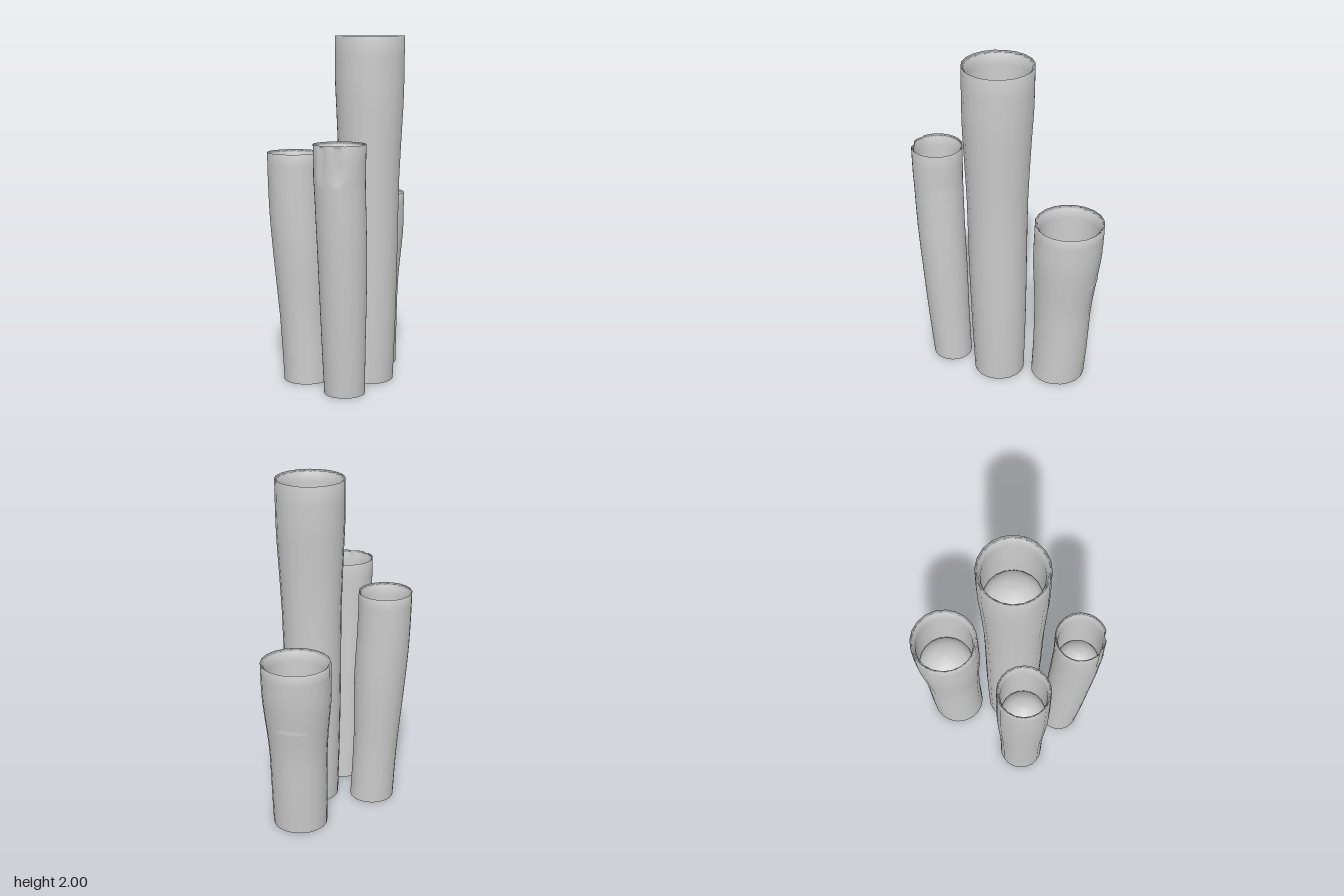
import * as THREE from 'three';

const SIDES = 20;

// Each stem: rows of [height, centre x, centre z, radius] from foot to mouth
const STEMS = [
  { name: 'tallTube', rows: [
    [0, 0.185, 0.04, 0.15], [0.4, 0.187, 0.042, 0.163], [0.8, 0.188, 0.045, 0.17],
    [1.2, 0.19, 0.044, 0.175], [1.6, 0.192, 0.042, 0.193], [1.77, 0.19, 0.038, 0.199],
    [2, 0.19, 0.036, 0.2]] },
  { name: 'backTube', rows: [
    [0, 0.16, -0.315, 0.16], [0.2, 0.16, -0.328, 0.163], [0.45, 0.16, -0.337, 0.168],
    [0.6, 0.16, -0.345, 0.178], [0.8, 0.16, -0.355, 0.197], [0.92, 0.16, -0.362, 0.2],
    [1.05, 0.16, -0.367, 0.2]] },
  { name: 'rightTube', rows: [
    [0, -0.167, 0.113, 0.132], [0.2, -0.178, 0.113, 0.132], [0.4, -0.19, 0.113, 0.135],
    [0.6, -0.2, 0.113, 0.145], [0.8, -0.21, 0.114, 0.154], [1, -0.224, 0.115, 0.156],
    [1.2, -0.233, 0.115, 0.155], [1.34, -0.236, 0.115, 0.155]] },
  { name: 'frontTube', notch: true, rows: [
    [0, 0.09, 0.355, 0.115], [0.3, 0.087, 0.375, 0.124], [0.6, 0.085, 0.39, 0.133],
    [0.9, 0.08, 0.407, 0.139], [1.18, 0.071, 0.417, 0.142], [1.24, 0.07, 0.419, 0.144],
    [1.42, 0.07, 0.42, 0.146]] },
];

// Smooths the rows into twice as many rings
function smoothRows(rows) {
  const path = new THREE.CatmullRomCurve3(
    rows.map(([y, x, z]) => new THREE.Vector3(x, y, z)), false, 'catmullrom');
  const girth = new THREE.CatmullRomCurve3(
    rows.map(([y, , , r]) => new THREE.Vector3(r, y, 0)), false, 'catmullrom');
  const count = (rows.length - 1) * 2;
  return Array.from({ length: count + 1 }, (_, i) => {
    const p = path.getPoint(i / count);
    return { x: p.x, y: p.y, z: p.z, r: girth.getPoint(i / count).x, outer: true };
  });
}

// Joins a stack of rings into one smooth skin
function skin(rings, notch, sides) {
  const pos = [];
  const index = [];
  rings.forEach((ring, i) => {
    for (let j = 0; j < sides; j++) {
      const a = (j / sides) * Math.PI * 2;
      const deg = a > Math.PI ? (a * 180) / Math.PI - 360 : (a * 180) / Math.PI;
      // shallow broken groove below the mouth, with a raised rib in the middle
      const inGroove = notch && ring.outer && ring.y > 1.235 && deg > -40 && deg < 10;
      const rib = deg > -28 && deg < -8;
      const r = ring.r - (inGroove ? (rib ? 0.004 : 0.014) : 0);
      pos.push(ring.x + Math.sin(a) * r, ring.y, ring.z + Math.cos(a) * r);
      if (i < rings.length - 1) {
        const k = (j + 1) % sides;
        const p = i * sides + j, q = i * sides + k;
        index.push(p, q, q + sides, p, q + sides, p + sides);
      }
    }
  });
  const geo = new THREE.BufferGeometry();
  geo.setAttribute('position', new THREE.Float32BufferAttribute(pos, 3));
  geo.setIndex(index);
  geo.computeVertexNormals();
  return geo;
}

export function createModel() {
  const grey = new THREE.MeshStandardMaterial({ color: 0xcccccc, side: THREE.DoubleSide });
  grey.name = 'plainGrey';
  const model = new THREE.Group();
  model.name = 'tubeCluster';

  for (const { name, rows, notch } of STEMS) {
    const stem = new THREE.Group();
    stem.name = name;
    const sides = notch ? SIDES * 2 : SIDES;
    const outer = smoothRows(rows);
    const top = outer[outer.length - 1];
    const foot = outer[0];

    // lip, throat and domed floor, as [radius factor, depth below the mouth]
    const inner = [[0.92, 0.015], [0.86, 0.07], [0.85, 0.38]]
      .map(([f, d]) => ({ x: top.x, y: top.y - d, z: top.z, r: top.r * f }));
    const wall = new THREE.Mesh(skin([...outer, ...inner], notch, sides), grey);
    wall.name = 'wall';
    stem.add(wall);

    const dome = Array.from({ length: 7 }, (_, i) => {
      const t = (i / 6) * Math.PI / 2;
      return { x: top.x, z: top.z, y: top.y - 0.38 + Math.sin(t) * 0.13,
        r: Math.max(0.0005, top.r * 0.85 * Math.cos(t)) };
    });
    const floor = new THREE.Mesh(skin(dome, false, sides), grey);
    floor.name = 'innerDome';
    stem.add(floor);

    const base = new THREE.Mesh(new THREE.CircleGeometry(foot.r, sides), grey);
    base.name = 'base';
    base.rotation.x = Math.PI / 2;
    base.position.set(foot.x, 0, foot.z);
    stem.add(base);

    model.add(stem);
  }
  return model;
}
